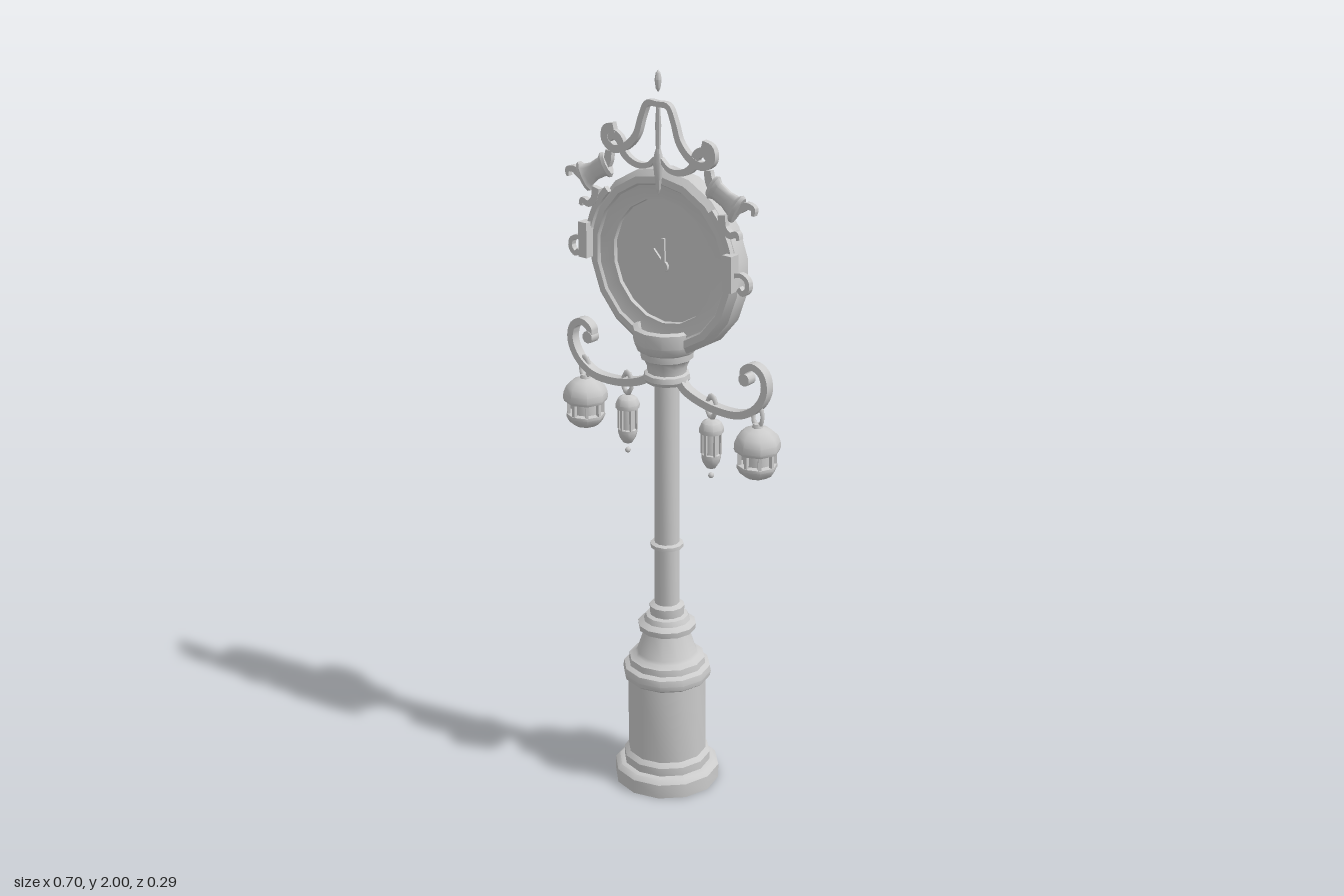
import * as THREE from 'three';
import { toCreasedNormals } from 'three/addons/utils/BufferGeometryUtils.js';

const AXIS = -0.007; // x of the post
const mat = new THREE.MeshStandardMaterial({ color: 0xcccccc, side: THREE.DoubleSide });

function add(parent, name, geo, x = 0, y = 0, z = 0) {
  const m = new THREE.Mesh(geo, mat);
  m.name = name;
  m.position.set(x, y, z);
  parent.add(m);
  return m;
}

// Turned part from [radius, height] pairs, bottom to top
function turned(profile, sides, crease = 0.6) {
  const pts = profile.map(([r, y]) => new THREE.Vector2(r, y));
  return toCreasedNormals(new THREE.LatheGeometry(pts, sides), crease);
}

// Flat strip that follows a curve in the xy plane; widths run from w0 to w1
function strip(points, w0, w1, depth, sx = 1, steps = 28) {
  const curve = new THREE.CatmullRomCurve3(points.map(([x, y]) => new THREE.Vector3(x * sx, y, 0)));
  const a = [], b = [];
  for (let i = 0; i <= steps; i++) {
    const t = i / steps, p = curve.getPoint(t), d = curve.getTangent(t);
    const w = (w0 + (w1 - w0) * t) / 2;
    a.push(new THREE.Vector2(p.x - d.y * w, p.y + d.x * w));
    b.unshift(new THREE.Vector2(p.x + d.y * w, p.y - d.x * w));
  }
  const geo = new THREE.ExtrudeGeometry(new THREE.Shape([...a, ...b]), { depth, bevelEnabled: false });
  return toCreasedNormals(geo.translate(0, 0, -depth / 2), 0.6);
}

// Oval hanging link
function link(parent, y, height) {
  const m = add(parent, 'hangingLink', new THREE.TorusGeometry(0.015, 0.005, 6, 12), 0, y, 0);
  m.scale.set(1, height / 0.04, 1.3);
}

function bigLamp() {
  const g = new THREE.Group();
  g.name = 'largeLantern';
  link(g, 1.145, 0.075);
  add(g, 'lanternDome', turned([[0, 1.05], [0.058, 1.05], [0.061, 1.058], [0.06, 1.075], [0.053, 1.092],
    [0.035, 1.108], [0.015, 1.115], [0.012, 1.125], [0, 1.127]], 8, 0.8));
  add(g, 'lanternGlass', turned([[0.037, 1.0], [0.037, 1.055]], 8, 0.8));
  add(g, 'lanternBowl', turned([[0, 0.978], [0.03, 0.98], [0.045, 0.99], [0.053, 1.006], [0.053, 1.014], [0.037, 1.016]], 8, 0.8));
  for (let i = 0; i < 8; i++) {
    const a = i * Math.PI / 4;
    const bar = add(g, 'lanternBar', new THREE.BoxGeometry(0.009, 0.045, 0.009),
      0.046 * Math.sin(a), 1.033, 0.046 * Math.cos(a));
    bar.rotation.y = a;
  }
  return g;
}

function smallLamp() {
  const g = new THREE.Group();
  g.name = 'smallLantern';
  link(g, 1.135, 0.075);
  add(g, 'lanternBody', turned([[0, 0.963], [0.013, 0.966], [0.022, 0.98], [0.026, 0.995], [0.026, 1.004],
    [0.021, 1.006], [0.021, 1.062], [0.032, 1.064], [0.033, 1.076], [0.026, 1.092], [0.012, 1.1], [0, 1.102]], 8, 0.8));
  for (let i = 0; i < 6; i++) {
    const a = i * Math.PI / 3;
    add(g, 'lanternBar', new THREE.BoxGeometry(0.006, 0.06, 0.006), 0.024 * Math.sin(a), 1.034, 0.024 * Math.cos(a));
  }
  add(g, 'lanternDrop', new THREE.SphereGeometry(0.008, 8, 6), 0, 0.943, 0);
  return g;
}

function buildPost(g) {
  add(g, 'pedestal', turned([[0.132, 0], [0.145, 0], [0.145, 0.04], [0.133, 0.052], [0.12, 0.055], [0.12, 0.078],
    [0.108, 0.09], [0.108, 0.308], [0.119, 0.316], [0.122, 0.33], [0.119, 0.347], [0.106, 0.354], [0.104, 0.372],
    [0.088, 0.38], [0.082, 0.388], [0.061, 0.452], [0.078, 0.456], [0.08, 0.472], [0.064, 0.482], [0.058, 0.496],
    [0.047, 0.5], [0.048, 0.525], [0.034, 0.532]], 12));
  add(g, 'pedestalLining', turned([[0.132, 0], [0.108, 0.06], [0.1, 0.3]], 12));
  add(g, 'pole', turned([[0.034, 0.52], [0.033, 1.19]], 12));
  add(g, 'poleRing', turned([[0.034, 0.695], [0.045, 0.699], [0.045, 0.709], [0.034, 0.713]], 12));
  add(g, 'capital', turned([[0.033, 1.168], [0.056, 1.172], [0.062, 1.182], [0.06, 1.196], [0.052, 1.2], [0.054, 1.218],
    [0.062, 1.235], [0.07, 1.24], [0.071, 1.258], [0.08, 1.264], [0.089, 1.285], [0.09, 1.322], [0.077, 1.327],
    [0.07, 1.3], [0.05, 1.285], [0, 1.28]], 12));
}

function buildClock(g) {
  const clock = new THREE.Group();
  clock.name = 'clock';
  clock.position.set(0, 1.5, -0.005);
  g.add(clock);
  // Rounded rim with a sloped bezel and recessed dial on both faces
  const half = [[0, 0.012], [0.163, 0.012], [0.165, 0.022], [0.172, 0.022], [0.205, 0.03], [0.21, 0.037], [0.228, 0.036], [0.244, 0.022]];
  const profile = [...half.map(([r, z]) => [r, -z]), ...half.slice().reverse()];
  add(clock, 'clockCase', turned(profile, 18, 0.5)).rotation.x = Math.PI / 2;
  // Hands
  add(clock, 'handHub', new THREE.CylinderGeometry(0.015, 0.015, 0.008, 10), 0, -0.013, 0.018).rotation.x = Math.PI / 2;
  add(clock, 'minuteHand', strip([[0, -0.013], [0, 0.062]], 0.014, 0.008, 0.006, 1, 1), 0, 0, 0.019);
  add(clock, 'hourHand', strip([[0, -0.013], [-0.036, 0.026]], 0.014, 0.009, 0.006, 1, 1), 0, 0, 0.017);
}

// Ornament and arm on one side; s is +1 or -1
function buildSide(g, s) {
  const side = new THREE.Group();
  side.name = s > 0 ? 'leftSide' : 'rightSide';
  g.add(side);
  add(side, 'lampArm', strip([[0.04, 1.19], [0.065, 1.164], [0.11, 1.145], [0.176, 1.133], [0.25, 1.138], [0.302, 1.172],
    [0.325, 1.22], [0.315, 1.262], [0.285, 1.277], [0.258, 1.262], [0.258, 1.24]], 0.022, 0.018, 0.026, s, 40));
  add(side, 'armCurlTip', new THREE.CylinderGeometry(0.017, 0.017, 0.03, 10), s * 0.262, 1.238, 0).rotation.x = Math.PI / 2;
  const z = 0.032;
  add(side, 'crownStrap', strip([[0, 1.914], [0.033, 1.912], [0.052, 1.875], [0.07, 1.825], [0.105, 1.79], [0.145, 1.778],
    [0.172, 1.798], [0.168, 1.825], [0.142, 1.832]], 0.014, 0.026, 0.016, s, 36), 0, 0, z);
  add(side, 'crownScroll', strip([[0.17, 1.8], [0.15, 1.815], [0.125, 1.805], [0.11, 1.77], [0.075, 1.75], [0.035, 1.752],
    [0.008, 1.775]], 0.03, 0.01, 0.014, s), 0, 0, z);
  // Flared horn beside the crown
  const horn = add(side, 'horn', turned([[0, -0.052], [0.03, -0.05], [0.036, -0.04], [0.027, -0.028], [0.025, 0.005],
    [0.031, 0.03], [0.042, 0.04], [0.04, 0.05], [0, 0.052]], 10, 0.8), s * 0.21, 1.709, z);
  horn.rotation.z = -s * 2.1;
  horn.scale.z = 0.4;
  add(side, 'hornUpperCurl', strip([[0.235, 1.68], [0.262, 1.692], [0.283, 1.702], [0.302, 1.697], [0.301, 1.68]], 0.026, 0.009, 0.014, s), 0, 0, z);
  add(side, 'hornNeck', strip([[0.16, 1.77], [0.165, 1.745], [0.18, 1.725]], 0.02, 0.03, 0.014, s, 8), 0, 0, z);
  add(side, 'rimCurl', strip([[0.205, 1.665], [0.212, 1.632], [0.232, 1.618], [0.252, 1.625], [0.258, 1.61]], 0.024, 0.01, 0.016, s), 0, 0, z);
  // Strap along the rim from horn to bracket
  const rim = [];
  for (let i = 0; i <= 5; i++) {
    const a = 0.78 - i * 0.14;
    rim.push([0.237 * Math.cos(a), 1.5 + 0.237 * Math.sin(a)]);
  }
  add(side, 'rimStrap', strip(rim, 0.018, 0.014, 0.014, s, 12), 0, 0, z);
  add(side, 'sideBracket', new THREE.BoxGeometry(0.028, 0.095, 0.03), s * 0.237, 1.523, 0.042);
  add(side, 'sideCurl', strip([[0.24, 1.515], [0.268, 1.523], [0.288, 1.512], [0.29, 1.49], [0.275, 1.477], [0.262, 1.487]],
    0.011, 0.015, 0.016, s), 0, 0, 0.036);
}

export function createModel() {
  const model = new THREE.Group();
  model.name = 'streetClock';
  const post = new THREE.Group();
  post.name = 'clockPost';
  post.position.x = AXIS;
  model.add(post);
  buildPost(post);
  buildClock(post);
  for (const s of [1, -1]) {
    buildSide(post, s);
    const big = bigLamp();
    big.position.x = s * 0.291;
    const small = smallLamp();
    small.position.x = s * 0.142;
    model.add(big, small);
  }
  // Central spike and the drop above it
  const spike = add(post, 'crownSpike', turned([[0, 1.68], [0.007, 1.695], [0.016, 1.765], [0.012, 1.785], [0.007, 1.8],
    [0.009, 1.86], [0.005, 1.92], [0, 1.922]], 8, 0.8), 0, 0, 0.034);
  spike.scale.z = 0.7;
  add(post, 'finial', turned([[0, 1.943], [0.006, 1.953], [0.009, 1.975], [0.006, 1.992], [0, 2]], 8, 0.8), 0, 0, 0.034);
  return model;
}
